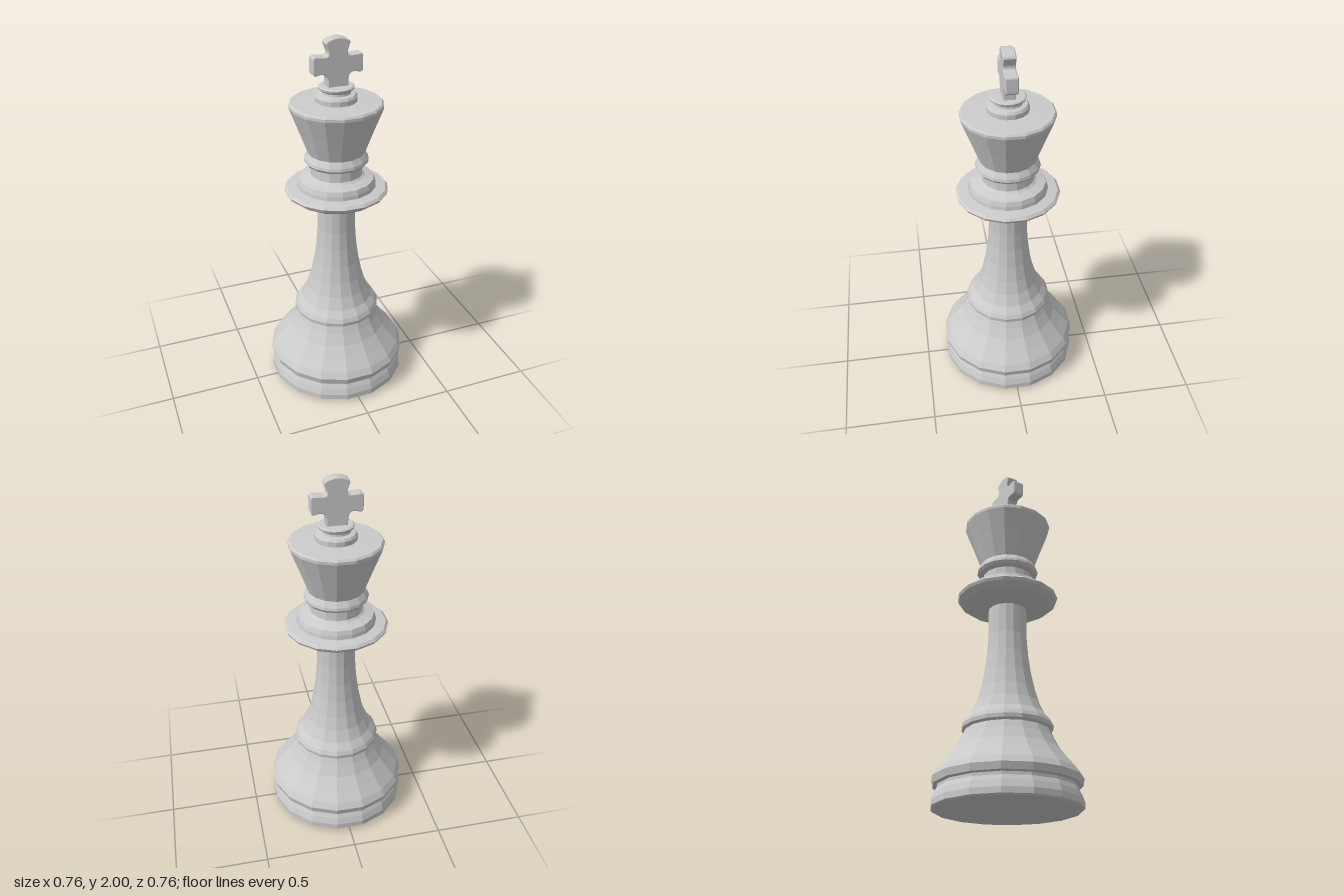
import * as THREE from 'three';

const SIDES = 16;
const material = new THREE.MeshStandardMaterial({ color: 0xcccccc, flatShading: true });

// Turned part from [half width across flats, height] pairs, bottom to top
function turned(name, profile) {
  const k = 1 / Math.cos(Math.PI / SIDES);
  const points = profile.map(([r, y]) => new THREE.Vector2(r * k, y));
  const mesh = new THREE.Mesh(new THREE.LatheGeometry(points, SIDES, Math.PI / SIDES), material);
  mesh.name = name;
  return mesh;
}

// Flared cross with rounded arms and a domed top
function cross() {
  const s = new THREE.Shape();
  s.moveTo(-0.055, 1.74);
  s.lineTo(0.055, 1.74);
  s.lineTo(0.055, 1.79);
  s.quadraticCurveTo(0.058, 1.825, 0.085, 1.825);
  s.lineTo(0.12, 1.818);
  s.quadraticCurveTo(0.132, 1.822, 0.132, 1.835);
  s.lineTo(0.132, 1.9);
  s.quadraticCurveTo(0.132, 1.91, 0.12, 1.914);
  s.lineTo(0.07, 1.91);
  s.quadraticCurveTo(0.045, 1.91, 0.05, 1.935);
  s.lineTo(0.064, 1.972);
  s.quadraticCurveTo(0.062, 1.985, 0.045, 1.991);
  s.quadraticCurveTo(0, 2.009, -0.045, 1.991);
  s.quadraticCurveTo(-0.062, 1.985, -0.064, 1.972);
  s.lineTo(-0.05, 1.935);
  s.quadraticCurveTo(-0.045, 1.91, -0.07, 1.91);
  s.lineTo(-0.12, 1.914);
  s.quadraticCurveTo(-0.132, 1.91, -0.132, 1.9);
  s.lineTo(-0.132, 1.835);
  s.quadraticCurveTo(-0.132, 1.822, -0.12, 1.818);
  s.lineTo(-0.085, 1.825);
  s.quadraticCurveTo(-0.058, 1.825, -0.055, 1.79);
  s.closePath();
  const geometry = new THREE.ExtrudeGeometry(s, {
    depth: 0.056, curveSegments: 4,
    bevelThickness: 0.004, bevelSize: 0.004, bevelOffset: -0.004, bevelSegments: 1,
  });
  geometry.translate(0, 0, -0.028);
  const mesh = new THREE.Mesh(geometry, material);
  mesh.name = 'cross';
  return mesh;
}

export function createModel() {
  const model = new THREE.Group();
  model.name = 'chessKing';
  model.add(
    // Stepped foot and bell-shaped base
    turned('base', [
      [0, 0], [0.3, 0.002], [0.368, 0.012], [0.378, 0.02], [0.378, 0.05], [0.366, 0.085],
      [0.353, 0.11], [0.353, 0.125], [0.372, 0.13], [0.38, 0.165], [0.36, 0.2],
      [0.315, 0.255], [0.27, 0.315], [0.238, 0.375], [0.221, 0.415],
    ]),
    // Waist ring flowing into the slender stem
    turned('stem', [
      [0.221, 0.415], [0.234, 0.425], [0.236, 0.445], [0.225, 0.468], [0.195, 0.505],
      [0.165, 0.57], [0.143, 0.645], [0.124, 0.74], [0.11, 0.845], [0.103, 0.95], [0.103, 1.115],
    ]),
    // Wide collar with stacked rings above it
    turned('collar', [
      [0.103, 1.115], [0.17, 1.123], [0.235, 1.145], [0.268, 1.17], [0.275, 1.185],
      [0.262, 1.198], [0.21, 1.205], [0.207, 1.225], [0.198, 1.25], [0.15, 1.265],
      [0.138, 1.275], [0.135, 1.325], [0.158, 1.335], [0.169, 1.35], [0.166, 1.365],
      [0.148, 1.395],
    ]),
    // Flared crown
    turned('crown', [[0.148, 1.395], [0.195, 1.525], [0.24, 1.645], [0.24, 1.66], [0.231, 1.67], [0.107, 1.675]]),
    // Small double ring under the cross
    turned('finial', [
      [0.107, 1.675], [0.107, 1.7], [0.098, 1.712], [0.075, 1.716], [0.073, 1.727],
      [0.09, 1.74], [0.092, 1.75], [0.085, 1.755], [0, 1.757],
    ]),
    cross(),
  );
  return model;
}
